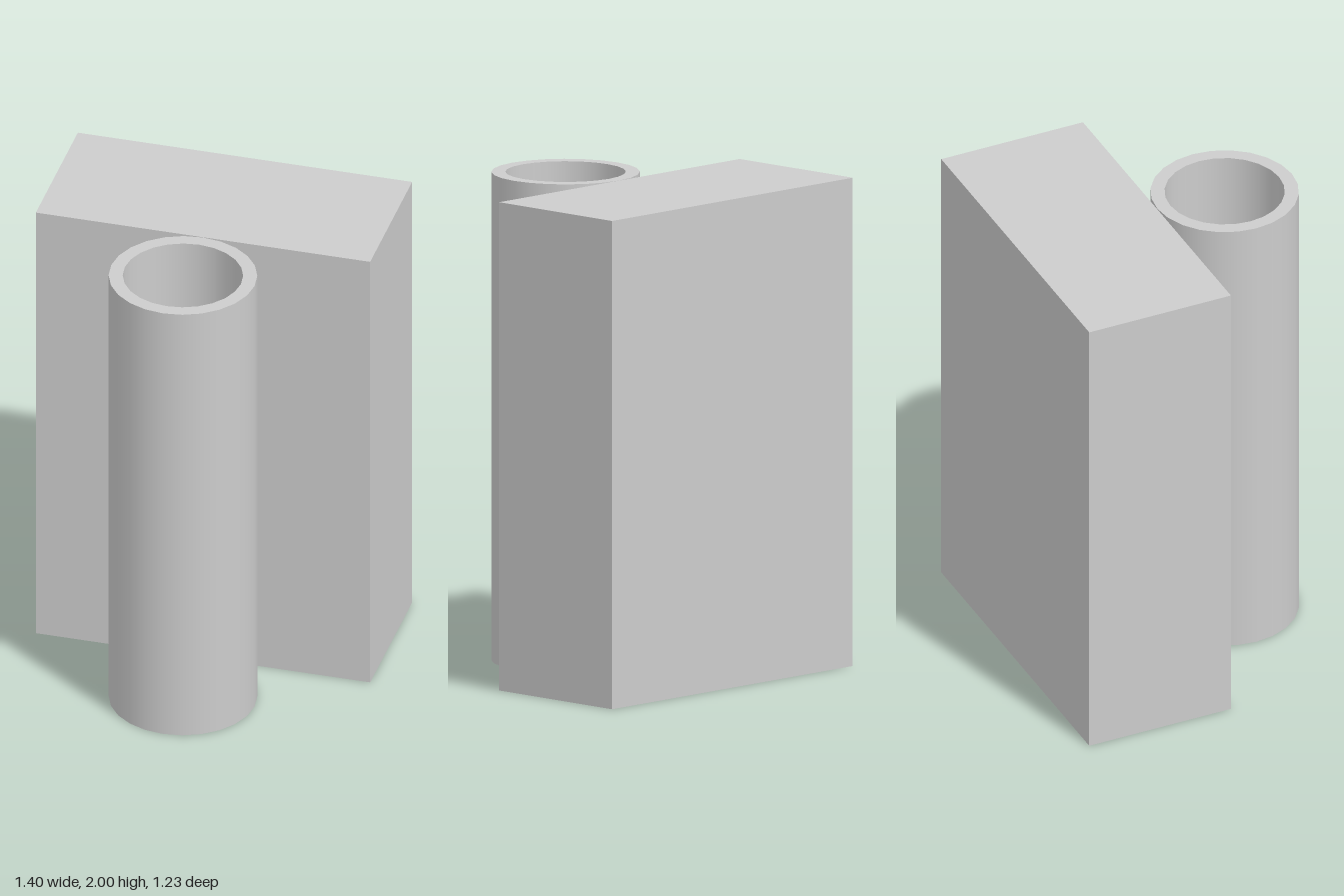
import * as THREE from 'three';
import { mergeGeometries } from 'three/addons/utils/BufferGeometryUtils.js';

const H = 2;

// Box without its underside, standing on y = 0; inward turns its faces to the inside.
function openBox(width, height, depth, x, z, inward = false) {
  const geo = new THREE.BoxGeometry(width, height, depth);
  const index = Array.from(geo.index.array);
  index.splice(18, 6); // drop the bottom face
  if (inward) {
    index.reverse();
    const n = geo.attributes.normal;
    for (let i = 0; i < n.array.length; i++) n.array[i] *= -1;
  }
  geo.setIndex(index);
  geo.clearGroups();
  return geo.translate(x, height / 2, z);
}

// Rectangle outline in x and z (drawn in the shape's x and y)
function rectangle(path, x0, z0, x1, z1) {
  path.moveTo(x0, z0);
  path.lineTo(x1, z0);
  path.lineTo(x1, z1);
  path.lineTo(x0, z1);
  path.closePath();
  return path;
}

export function createModel() {
  const model = new THREE.Group();
  model.name = 'caseWithTube';
  const grey = new THREE.MeshStandardMaterial({ color: 0xcccccc });
  grey.name = 'lightGrey';

  const add = (name, geometry) => {
    const mesh = new THREE.Mesh(geometry, grey);
    mesh.name = name;
    model.add(mesh);
  };

  // Block, closed on top, with a long slot open at the bottom
  const halfW = 0.7, back = -0.617, front = 0.015;
  const slotW = 0.635, slotBack = -0.215, slotFront = -0.02, slotH = 1.93;
  add('blockShell', openBox(halfW * 2, H, front - back, 0, (front + back) / 2));
  add('slotWalls', openBox(slotW * 2, slotH, slotFront - slotBack, 0, (slotFront + slotBack) / 2, true));

  // Underside of the block around the slot
  const rim = rectangle(new THREE.Shape(), -halfW, back, halfW, front);
  rim.holes.push(rectangle(new THREE.Path(), -slotW, slotBack, slotW, slotFront));
  add('blockUnderside', new THREE.ShapeGeometry(rim).rotateX(Math.PI / 2));

  // Open tube in front: one lathe per wall keeps the rims sharp
  const outer = 0.3, inner = 0.243;
  const profile = [[outer, 0], [outer, H], [inner, H], [inner, 0], [outer, 0]]
    .map(([r, y]) => new THREE.Vector2(r, y));
  const walls = profile.slice(1).map((p, i) => new THREE.LatheGeometry([profile[i], p], 24));
  add('tube', mergeGeometries(walls).translate(0, 0, 0.317));

  return model;
}
